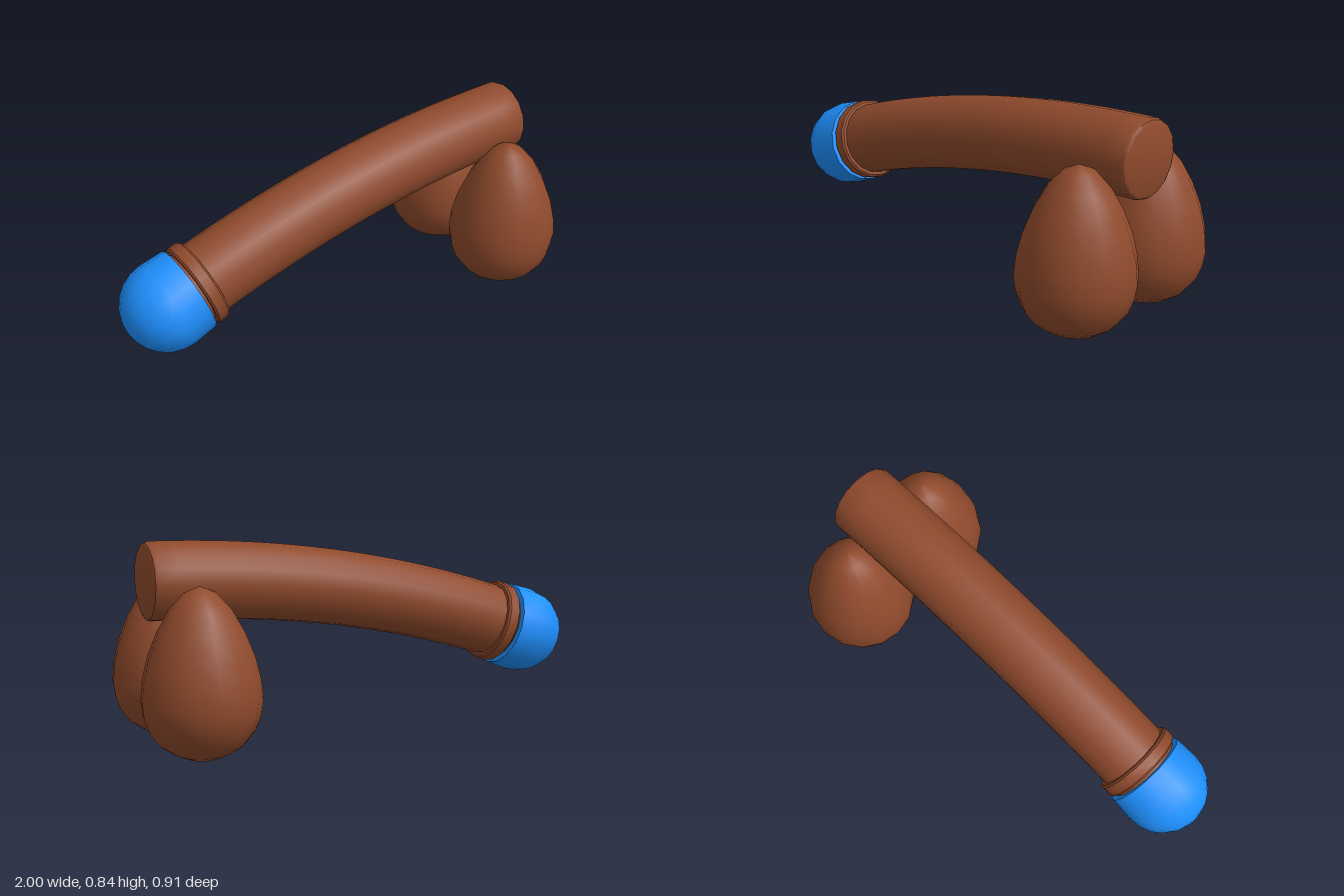
import * as THREE from 'three';
import { toCreasedNormals } from 'three/addons/utils/BufferGeometryUtils.js';

const SIDES = 16;
const BEND_RADIUS = 4.96;
const START = { x: 0.92, y: 0.68 }; // centre of the flat end
const COLLAR_AT = 1.62; // distance along the arc

const brown = new THREE.MeshStandardMaterial({ color: 0x8f4a2c });
const blue = new THREE.MeshStandardMaterial({ color: 0x1e90ff });

// Lathe from [radius, height] pairs, listed from bottom to top
function lathe(profile) {
  return new THREE.LatheGeometry(profile.map(([r, y]) => new THREE.Vector2(r, y)), SIDES);
}

function makeMesh(name, geometry, material) {
  const mesh = new THREE.Mesh(toCreasedNormals(geometry, 0.7), material);
  mesh.name = name;
  return mesh;
}

// Centre of the arc at distance s, drooping towards -x
function arcPoint(s) {
  const phi = s / BEND_RADIUS;
  return {
    phi,
    x: START.x - BEND_RADIUS * Math.sin(phi),
    y: START.y - BEND_RADIUS * (1 - Math.cos(phi)),
  };
}

// Bend a lathe standing on y so its axis follows the arc
function bend(geometry) {
  const pos = geometry.attributes.position;
  for (let i = 0; i < pos.count; i++) {
    const r = pos.getX(i);
    const p = arcPoint(pos.getY(i));
    pos.setXY(i, p.x - Math.sin(p.phi) * r, p.y + Math.cos(p.phi) * r);
  }
  return geometry;
}

export function createModel() {
  const model = new THREE.Group();
  model.name = 'model';

  // Curved shaft with a softened flat end
  const shaftProfile = [[0, 0], [0.14, 0], [0.152, 0.006], [0.158, 0.02]];
  const steps = 20;
  const shaftEnd = COLLAR_AT + 0.06;
  for (let i = 1; i <= steps; i++) {
    shaftProfile.push([0.158, 0.02 + (shaftEnd - 0.02) * i / steps]);
  }
  shaftProfile.push([0, shaftEnd]);
  model.add(makeMesh('shaft', bend(lathe(shaftProfile)), brown));

  // Collar and cap share a frame aligned to the end of the arc
  const head = new THREE.Group();
  head.name = 'head';
  const p = arcPoint(COLLAR_AT);
  head.position.set(p.x, p.y, 0);
  head.rotation.z = Math.PI / 2 + p.phi;
  model.add(head);

  head.add(makeMesh('collar', lathe([
    [0.15, -0.03], [0.172, -0.03], [0.18, -0.022],
    [0.18, 0.022], [0.172, 0.03], [0.15, 0.03],
  ]), brown));

  // Rounded cap with a closed rim
  const capProfile = [[0, 0.044], [0.184, 0.044]];
  const domeSteps = 6;
  for (let i = 0; i <= domeSteps; i++) {
    const a = i / domeSteps * Math.PI / 2;
    capProfile.push([i === domeSteps ? 0 : 0.19 * Math.cos(a), 0.15 + 0.19 * Math.sin(a)]);
  }
  head.add(makeMesh('cap', lathe(capProfile), blue));

  // Pair of egg-shaped bodies, narrow end up
  const eggProfile = [
    [0, 0], [0.06, 0.01], [0.118, 0.035], [0.168, 0.07], [0.206, 0.12], [0.228, 0.18],
    [0.236, 0.24], [0.228, 0.32], [0.206, 0.41], [0.168, 0.505], [0.12, 0.59], [0.062, 0.655], [0, 0.68],
  ];
  for (const [name, side] of [['frontEgg', 1], ['backEgg', -1]]) {
    const egg = makeMesh(name, lathe(eggProfile), brown);
    egg.position.set(0.764, 0, side * 0.22);
    model.add(egg);
  }

  return model;
}
